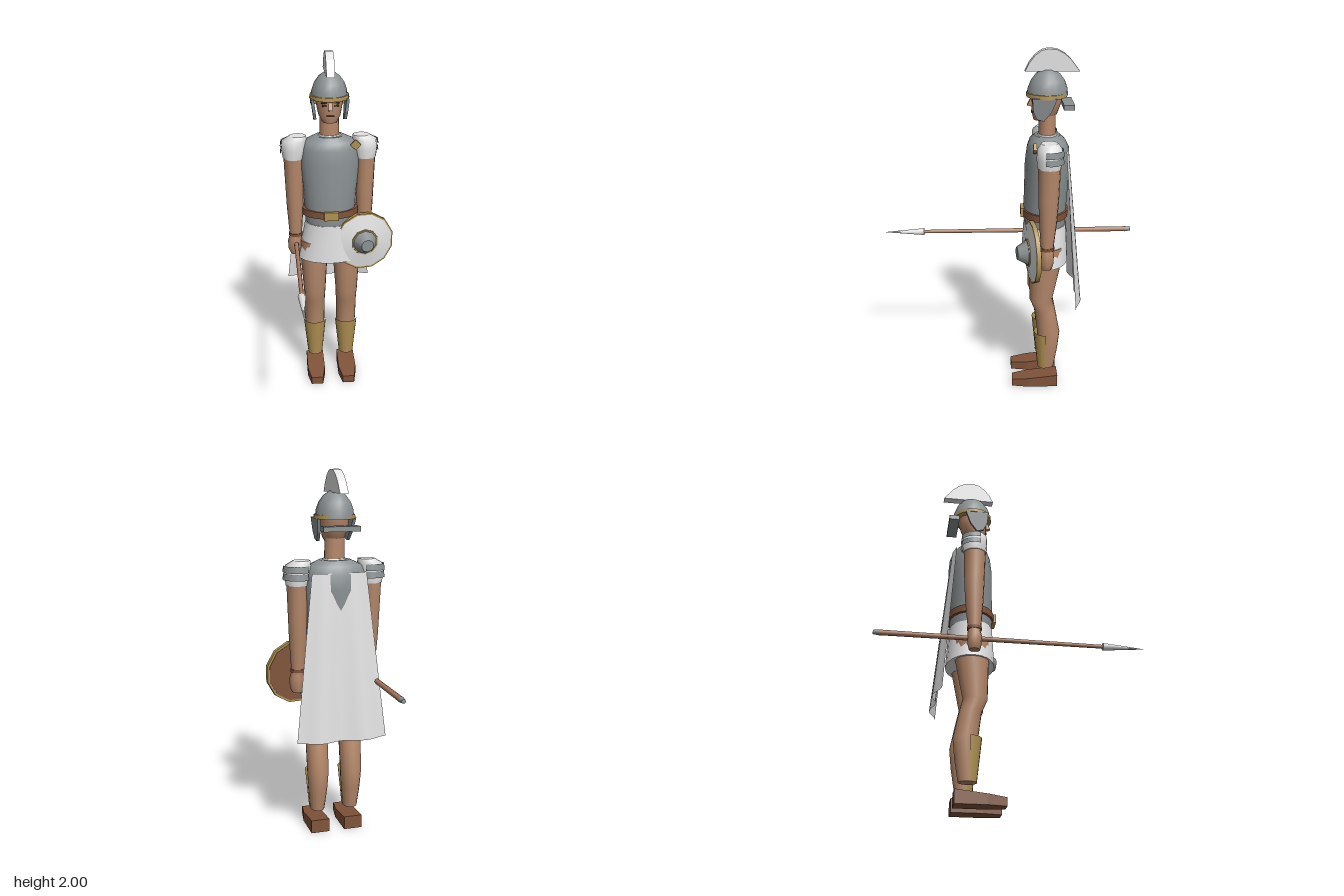
import * as THREE from 'three';

const mat = (name, color, side = THREE.FrontSide) => {
  const m = new THREE.MeshStandardMaterial({ color, side });
  m.name = name;
  return m;
};

// Closed tube through elliptical rings [y, x, z, rx, rz], listed bottom to top
function loft(rings, n = 16) {
  const pos = [], idx = [];
  const ringAt = ([y, x, z, rx, rz]) => {
    const start = pos.length / 3;
    for (let j = 0; j < n; j++) {
      const a = (j / n) * Math.PI * 2;
      pos.push(x + rx * Math.sin(a), y, z + rz * Math.cos(a));
    }
    return start;
  };
  const starts = rings.map(ringAt);
  for (let i = 0; i + 1 < starts.length; i++) {
    for (let j = 0; j < n; j++) {
      const k = (j + 1) % n, a = starts[i], b = starts[i + 1];
      idx.push(a + j, a + k, b + k, a + j, b + k, b + j);
    }
  }
  const bottom = ringAt(rings[0]), top = ringAt(rings[rings.length - 1]);
  for (let j = 1; j < n - 1; j++) {
    idx.push(bottom, bottom + j + 1, bottom + j, top, top + j, top + j + 1);
  }
  const g = new THREE.BufferGeometry();
  g.setAttribute('position', new THREE.Float32BufferAttribute(pos, 3));
  g.setIndex(idx);
  g.computeVertexNormals();
  return g;
}

// Plate cut from a side profile of [z, y] points, centred on x
function sidePlate(points, thickness) {
  const shape = new THREE.Shape(points.map(([z, y]) => new THREE.Vector2(z, y)));
  const g = new THREE.ExtrudeGeometry(shape, { depth: thickness, bevelEnabled: false });
  return g.rotateY(-Math.PI / 2).translate(thickness / 2, 0, 0);
}

// Cylinder lying along z
const rod = (rFront, rBack, length, sides = 12, start = 0) =>
  new THREE.CylinderGeometry(rFront, rBack, length, sides, 1, false, start).rotateX(Math.PI / 2);

export function createModel() {
  const skin = mat('skin', 0xb5886a);
  const steel = mat('steel', 0x8b9193);
  const plate = mat('steel plate', 0x8b9193, THREE.DoubleSide);
  plate.color.copy(steel.color);
  const white = mat('white', 0xe2e2e2);
  const cloth = mat('white cloth', 0xe2e2e2, THREE.DoubleSide);
  const gold = mat('bronze', 0xb09152);
  const greaveGold = mat('bronze shell', 0xb09152, THREE.DoubleSide);
  const leather = mat('brown leather', 0x80543a);
  const wood = mat('wood', 0xac7c60);
  const dark = mat('dark brown', 0x45302a);

  const model = new THREE.Group();
  const body = new THREE.Group();
  body.name = 'soldier';
  body.position.set(-0.046, 0, -0.2);
  model.add(body);

  const add = (name, geometry, material, x = 0, y = 0, z = 0, parent = body) => {
    const m = new THREE.Mesh(geometry, material);
    m.name = name;
    m.position.set(x, y, z);
    parent.add(m);
    return m;
  };
  const box = (w, h, d) => new THREE.BoxGeometry(w, h, d);

  // Torso and clothing
  add('cuirass', loft([
    [1.01, 0, 0, 0.142, 0.118], [1.08, 0, 0.002, 0.146, 0.121], [1.2, 0, -0.003, 0.156, 0.123],
    [1.38, 0, -0.009, 0.175, 0.125], [1.46, 0, -0.011, 0.167, 0.117],
    [1.5, 0, -0.008, 0.15, 0.1], [1.53, 0, -0.006, 0.085, 0.07]], 20), steel);
  add('skirt', loft([[0.79, 0, 0, 0.19, 0.135], [1.015, 0, 0, 0.146, 0.122]], 20), white);
  add('belt', loft([[1.065, 0, 0, 0.165, 0.13], [1.105, 0, 0, 0.165, 0.13]], 20), leather);
  add('buckle', box(0.085, 0.05, 0.02), gold, 0, 1.085, 0.13);
  add('collar', loft([[1.515, 0, -0.005, 0.075, 0.06], [1.537, 0, -0.005, 0.062, 0.052]]), white);
  add('brooch', box(0.042, 0.042, 0.018), gold, 0.142, 1.49, 0.07).rotation.z = Math.PI / 4;

  // Cape: a sheet that widens downwards, with two soft folds
  const cape = new THREE.PlaneGeometry(2, 1, 16, 10);
  const p = cape.attributes.position;
  for (let i = 0; i < p.count; i++) {
    const u = p.getX(i), v = 0.5 - p.getY(i);
    const fold = (0.008 + 0.022 * v) * Math.sin(Math.PI * u) ** 2 + 0.015 * (1 - u * u);
    p.setXYZ(i, u * (0.15 + 0.1 * v), 1.47 - 0.9 * v, -0.1 - 0.065 * v - fold);
  }
  cape.computeVertexNormals();
  add('cape', cape, cloth);

  // Head and face
  add('neck', loft([[1.5, 0, -0.005, 0.056, 0.047], [1.68, 0, -0.005, 0.053, 0.046]]), skin);
  add('head', loft([
    [1.615, 0, 0.025, 0.04, 0.045], [1.65, 0, 0.01, 0.062, 0.07],
    [1.72, 0, 0, 0.076, 0.084], [1.79, 0, 0, 0.074, 0.084]]), skin);
  add('nose', sidePlate([[0.07, 1.74], [0.088, 1.735], [0.106, 1.695], [0.07, 1.685]], 0.022), skin);
  add('mouth', box(0.045, 0.006, 0.008), dark, 0, 1.66, 0.08);
  for (const s of [-1, 1]) {
    add('eye', box(0.026, 0.009, 0.008), dark, s * 0.033, 1.717, 0.077);
    add('eyebrow', box(0.032, 0.006, 0.009), dark, s * 0.034, 1.733, 0.078);
  }

  // Helmet
  add('helmetDome', loft([
    [1.75, 0, -0.004, 0.103, 0.112], [1.79, 0, -0.004, 0.099, 0.107], [1.83, 0, -0.004, 0.085, 0.092],
    [1.865, 0, -0.004, 0.06, 0.066], [1.888, 0, -0.004, 0.028, 0.03]]), steel);
  add('helmetBand', loft([[1.745, 0, 0, 0.112, 0.113], [1.767, 0, 0, 0.11, 0.111]]), gold);
  add('neckGuard', box(0.2, 0.027, 0.058), steel, 0, 1.7, -0.115);
  add('crestHolder', box(0.04, 0.02, 0.06), gold, 0, 1.875, 0);
  add('crest', sidePlate([
    [0.12, 1.88], [0.098, 1.925], [0.067, 1.965], [0.03, 1.992], [-0.005, 2], [-0.05, 1.996],
    [-0.09, 1.975], [-0.125, 1.945], [-0.175, 1.88]], 0.046), white);

  for (const s of [-1, 1]) {
    const cheek = add('cheekGuard', sidePlate([
      [0.083, 0], [0.078, -0.07], [0.057, -0.115], [0.02, -0.125], [-0.02, -0.075], [-0.05, 0]], 0.016),
      steel, s * 0.098, 1.75, 0);
    cheek.rotation.z = -s * 0.12;

    // Arms
    add('arm', loft([
      [0.9, s * 0.203, 0, 0.035, 0.033], [0.96, s * 0.203, 0, 0.038, 0.038],
      [1.1, s * 0.203, -0.003, 0.048, 0.05], [1.22, s * 0.204, -0.004, 0.052, 0.056],
      [1.42, s * 0.206, -0.005, 0.058, 0.062]], 12), skin);
    add('hand', loft([
      [0.81, s * 0.206, 0.002, 0.028, 0.03], [0.84, s * 0.208, 0.002, 0.039, 0.038],
      [0.89, s * 0.208, 0.002, 0.042, 0.04], [0.925, s * 0.205, 0, 0.034, 0.034]], 8), skin);
    add('wristStrap', loft([
      [0.925, s * 0.203, 0, 0.04, 0.04], [0.942, s * 0.203, 0, 0.041, 0.041]], 12), leather);

    // Shoulders: cloth sleeve with two curved plates around the outside and back
    add('sleeve', loft([
      [1.4, s * 0.206, -0.005, 0.061, 0.065], [1.45, s * 0.204, -0.005, 0.071, 0.07],
      [1.505, s * 0.2, -0.005, 0.07, 0.068], [1.53, s * 0.18, -0.005, 0.047, 0.046]], 12), white);
    const arc = 2.5, start = s > 0 ? 1.25 : Math.PI * 2 - 1.25 - arc;
    [1.447, 1.487].forEach((y) => add('shoulderPlate',
      new THREE.CylinderGeometry(0.075, 0.08, 0.034, 6, 1, true, start, arc), plate, s * 0.203, y, -0.005));

    // Legs, greaves and shoes
    const lx = s * 0.096;
    add('leg', loft([
      [0.12, lx, -0.01, 0.04, 0.05], [0.24, lx, -0.02, 0.053, 0.06], [0.35, lx, -0.025, 0.06, 0.066],
      [0.5, lx, -0.001, 0.062, 0.06], [0.57, lx, 0.022, 0.065, 0.067],
      [0.79, lx, 0.002, 0.08, 0.092], [0.9, lx, 0, 0.08, 0.095]]), skin);
    add('greave', new THREE.CylinderGeometry(0.068, 0.044, 0.235, 8, 1, true, -Math.PI / 2, Math.PI),
      greaveGold, lx, 0.2375, -0.006);
    const sole = new THREE.Shape([
      [-0.052, -0.08], [0.052, -0.08], [0.053, 0.09], [0.035, 0.19], [-0.035, 0.19], [-0.053, 0.09],
    ].map(([x, z]) => new THREE.Vector2(x, z)));
    const shoe = new THREE.ExtrudeGeometry(sole, { depth: 0.075, bevelEnabled: false });
    shoe.rotateX(Math.PI / 2).translate(0, 0.075, 0);
    const q = shoe.attributes.position;
    for (let i = 0; i < q.count; i++) {
      if (q.getY(i) > 0.05) q.setY(i, 0.075 - 0.11 * (q.getZ(i) + 0.08));
    }
    shoe.computeVertexNormals();
    add('shoe', shoe, leather, lx, 0, 0);
  }

  // Spear
  const spear = new THREE.Group();
  spear.name = 'spear';
  spear.position.set(-0.247, 0.878, 0);
  model.add(spear);
  add('shaft', rod(0.011, 0.016, 1.215, 8), wood, 0, 0, -0.0975, spear);
  add('spearhead', rod(0.001, 0.022, 0.23, 8), white, 0, 0, 0.62, spear);
  add('spearButt', rod(0.017, 0.012, 0.035, 8), steel, 0, 0, -0.7175, spear);

  // Shield
  const shield = new THREE.Group();
  shield.name = 'shield';
  shield.position.set(0.147, 0.907, -0.12);
  shield.rotation.y = 0.15;
  model.add(shield);
  const a = Math.PI / 12;
  add('shieldRim', rod(0.177, 0.177, 0.025, 12, a), gold, 0, 0, 0, shield);
  add('shieldFace', rod(0.08, 0.168, 0.015, 12, a), white, 0, 0, 0.02, shield);
  add('shieldBack', rod(0.165, 0.165, 0.006, 12, a), leather, 0, 0, -0.0125, shield);
  add('bossRing', rod(0.078, 0.08, 0.008, 10), gold, 0, 0, 0.03, shield);
  add('boss', rod(0.037, 0.07, 0.055, 10), steel, 0, 0, 0.0615, shield);

  return model;
}
